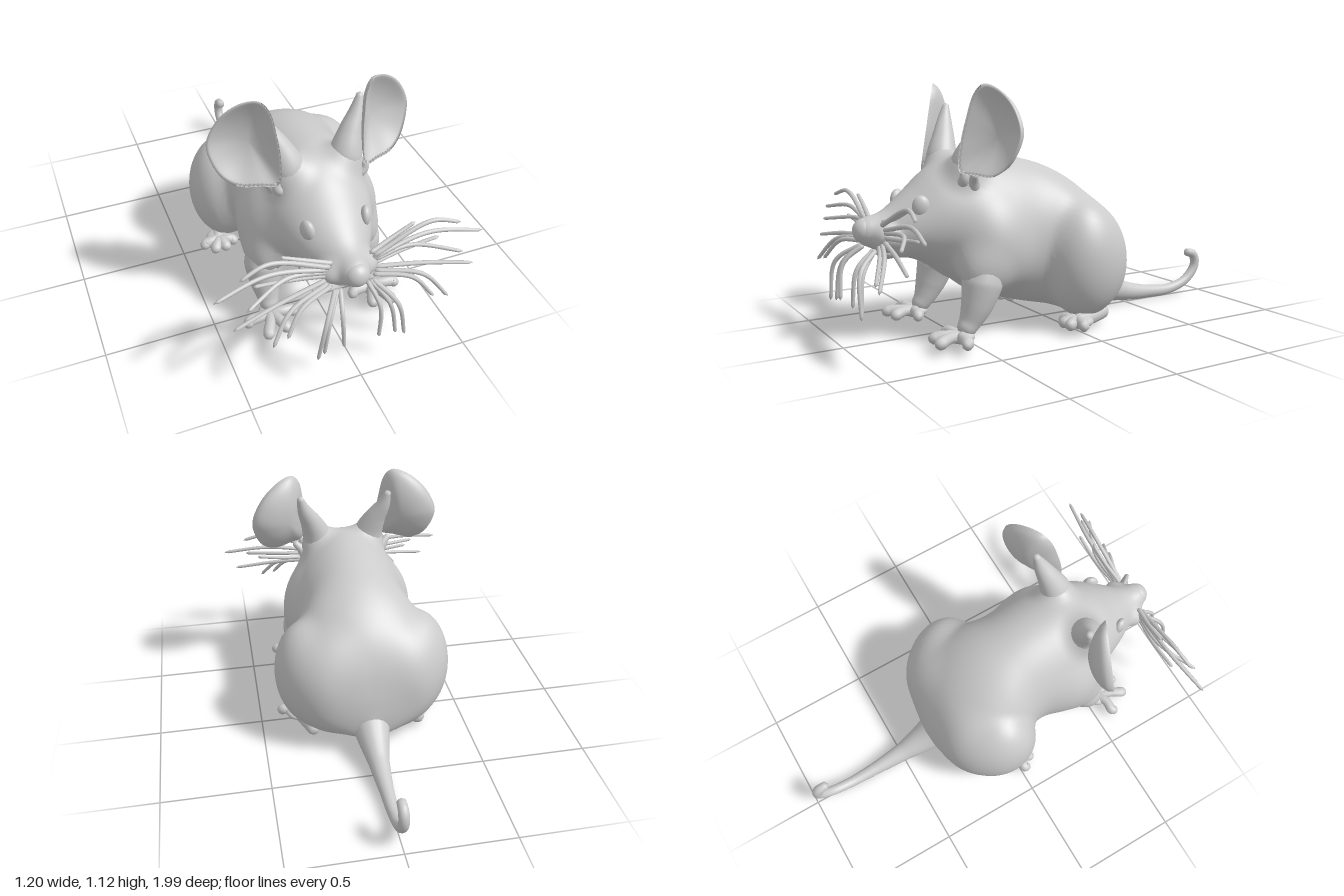
import * as THREE from 'three';
import { mergeVertices } from 'three/addons/utils/BufferGeometryUtils.js';

const V = (x, y, z) => new THREE.Vector3(x, y, z);
const material = new THREE.MeshStandardMaterial({ color: 0xcccccc, roughness: 0.8 });

// Weld seams so the shading is smooth all round
function smooth(geo) {
  geo.deleteAttribute('uv');
  geo.deleteAttribute('normal');
  const welded = mergeVertices(geo, 1e-5);
  welded.computeVertexNormals();
  return welded;
}

// Rings running from the front pole to the back pole, counter-clockwise seen from the front
function rings(nu, nv, point) {
  const pos = [], idx = [];
  for (let i = 0; i <= nu; i++)
    for (let j = 0; j < nv; j++) pos.push(...point(i / nu, j / nv));
  for (let i = 0; i < nu; i++)
    for (let j = 0; j < nv; j++) {
      const k = (j + 1) % nv, a = i * nv + j, b = i * nv + k;
      idx.push(a, a + nv, b, b, a + nv, b + nv);
    }
  const geo = new THREE.BufferGeometry();
  geo.setAttribute('position', new THREE.Float32BufferAttribute(pos, 3));
  geo.setIndex(idx);
  return smooth(geo);
}

// Tapered tube with rounded ends through [x, y, z, radius] points
function limb(pts, seg = 28, sides = 16) {
  const curve = new THREE.CatmullRomCurve3(pts.map(p => V(p[0], p[1], p[2])));
  const geo = new THREE.TubeGeometry(curve, seg, 1, sides);
  const pos = geo.attributes.position, nor = geo.attributes.normal;
  const len = curve.getLength(), last = pts.length - 1;
  const cap = (d, r) => d >= r ? 1 : Math.sqrt(Math.max(0, 1 - (1 - d / r) ** 2));
  for (let i = 0; i <= seg; i++) {
    const u = i / seg, c = curve.getPointAt(u), t = curve.getUtoTmapping(u) * last;
    const k = Math.min(Math.floor(t), last - 1);
    let r = THREE.MathUtils.lerp(pts[k][3], pts[k + 1][3], t - k);
    r *= cap(u * len, pts[0][3]) * cap((1 - u) * len, pts[last][3]);
    for (let j = 0; j <= sides; j++) {
      const n = i * (sides + 1) + j;
      pos.setXYZ(n, c.x + nor.getX(n) * r, c.y + nor.getY(n) * r, c.z + nor.getZ(n) * r);
    }
  }
  return smooth(geo);
}

function ellipsoid(c, r, yaw = 0) {
  return new THREE.SphereGeometry(1, 32, 24).scale(...r).rotateY(yaw).translate(...c);
}

function mirrored(geo) {
  const g = geo.clone().scale(-1, 1, 1), a = g.index.array;
  for (let i = 0; i < a.length; i += 3) [a[i], a[i + 1]] = [a[i + 1], a[i]];
  g.computeVertexNormals();
  return g;
}

// Body and head sections: z, top, bottom, half width, pear shape
const SECTIONS = [
  [0.92, 0.5, 0.49, 0.005, 0], [0.91, 0.54, 0.45, 0.045, 0], [0.86, 0.56, 0.42, 0.07, 0],
  [0.79, 0.59, 0.375, 0.105, 0], [0.7, 0.66, 0.365, 0.16, 0.05], [0.6, 0.745, 0.32, 0.21, 0.05],
  [0.5, 0.8, 0.25, 0.25, 0.08], [0.4, 0.815, 0.18, 0.28, 0.12], [0.28, 0.805, 0.14, 0.29, 0.12],
  [0.14, 0.78, 0.1, 0.285, 0.06], [0, 0.735, 0.07, 0.33, 0.06], [-0.12, 0.665, 0.06, 0.35, 0.08],
  [-0.22, 0.57, 0.06, 0.31, 0.08], [-0.29, 0.45, 0.07, 0.23, 0.05], [-0.33, 0.32, 0.09, 0.13, 0],
  [-0.35, 0.19, 0.18, 0.005, 0],
];

// Muscle masses blended into the body on both sides: centre, radii, blend
const MASSES = [
  { c: [0.26, 0.325, -0.055], r: [0.165, 0.265, 0.175], k: 0.03 }, // thigh
  { c: [0.17, 0.3, -0.13], r: [0.2, 0.26, 0.195], k: 0.08 },       // rump
  { c: [0.19, 0.41, 0.38], r: [0.13, 0.2, 0.15], k: 0.08 },        // shoulder
  { c: [0.23, 0.33, 0.44], r: [0.085, 0.11, 0.11], k: 0.05 },      // upper front leg
  { c: [0.06, 0.475, 0.815], r: [0.07, 0.055, 0.06], k: 0.03 },    // muzzle pad
  { c: [0, 0.5, 0.87], r: [0.052, 0.052, 0.045], k: 0.03 },        // nose root
  { c: [0.13, 0.75, 0.47], r: [0.075, 0.09, 0.07], k: 0.07 },      // ear root
];

function bodyGeometry() {
  const spline = f => new THREE.CatmullRomCurve3(SECTIONS.map(f), false, 'catmullrom', 0.5);
  const heights = spline(s => V(s[0], s[1], s[2])), widths = spline(s => V(s[0], s[3], s[4]));
  const massDistance = ({ c, r }, x, y, z) => {
    const q = V((Math.abs(x) - c[0]) / r[0], (y - c[1]) / r[1], (z - c[2]) / r[2]);
    const d = q.length();
    return d * (d - 1) / (V(q.x / r[0], q.y / r[1], q.z / r[2]).length() + 1e-6);
  };
  return rings(150, 72, (u, v) => {
    const h = heights.getPoint(u), w = widths.getPoint(u), a = v * Math.PI * 2;
    const cy = (h.y + h.z) / 2, z = h.x;
    const x = w.y * Math.cos(a) * (1 - w.z * Math.sin(a)), y = (h.y - h.z) / 2 * Math.sin(a);
    if (u === 0 || u === 1) return [x, cy + y, z];
    const R = Math.hypot(x, y), dx = x / R, dy = y / R;
    const field = t => MASSES.reduce((f, m) => {
      const d = massDistance(m, dx * t, cy + dy * t, z);
      return Math.min(f, d) - Math.max(m.k - Math.abs(f - d), 0) ** 2 / (4 * m.k);
    }, t - R);
    // Search inward for the outermost surface, then refine
    let lo = 0.6;
    while (lo > 0 && field(lo) > 0) lo -= 0.01;
    let hi = lo + 0.01;
    for (let i = 0; i < 10; i++) {
      const mid = (lo + hi) / 2;
      if (field(mid) > 0) hi = mid; else lo = mid;
    }
    return [dx * lo, cy + dy * lo, z];
  });
}

// Thin cupped ear plate, open to the front
function earGeometry() {
  const outline = new THREE.CatmullRomCurve3([
    [0.2, 0.75], [0.27, 0.74], [0.35, 0.735], [0.41, 0.77], [0.45, 0.85], [0.457, 0.93], [0.4, 1.04],
    [0.31, 1.11], [0.25, 1.12], [0.215, 1.08], [0.195, 0.98], [0.185, 0.86],
  ].map(p => V(p[0], p[1], 0)), true);
  return rings(28, 56, (u, v) => {
    const back = u > 0.5, s = back ? 2 - 2 * u : 2 * u;
    const p = V(0.28, 0.9, 0).lerp(outline.getPoint(v), s);
    const rim = 0.51 - 0.48 * (p.x - 0.2) - 0.17 * (p.y - 0.9);
    const thickness = 0.024 * Math.sqrt(1 - s ** 8);
    return [p.x, p.y, rim - 0.08 * (1 - s * s) + (back ? -thickness : thickness * 0.2)];
  });
}

// Whiskers: root, middle, tip
const WHISKERS = [
  [[0.09, 0.51, 0.84], [0.36, 0.56, 0.83], [0.6, 0.53, 0.87]],
  [[0.09, 0.53, 0.85], [0.36, 0.63, 0.84], [0.49, 0.6, 0.86]],
  [[0.08, 0.54, 0.84], [0.2, 0.58, 0.82], [0.3, 0.62, 0.81]],
  [[0.1, 0.5, 0.84], [0.28, 0.515, 0.83], [0.48, 0.49, 0.92]],
  [[0.1, 0.48, 0.84], [0.25, 0.49, 0.82], [0.42, 0.51, 0.82]],
  [[0.1, 0.46, 0.84], [0.33, 0.44, 0.88], [0.54, 0.405, 0.92]],
  [[0.1, 0.45, 0.85], [0.3, 0.42, 0.92], [0.395, 0.315, 0.98]],
  [[0.09, 0.44, 0.86], [0.25, 0.42, 0.92], [0.33, 0.33, 0.97]],
  [[0.08, 0.43, 0.87], [0.16, 0.35, 0.97], [0.2, 0.165, 0.985]],
  [[0.07, 0.43, 0.87], [0.135, 0.34, 0.95], [0.165, 0.17, 0.97]],
  [[0.06, 0.43, 0.87], [0.085, 0.35, 0.96], [0.08, 0.19, 0.98]],
];

export function createModel() {
  const model = new THREE.Group();
  model.name = 'mouse';
  const add = (name, geo) => {
    const mesh = new THREE.Mesh(geo, material);
    mesh.name = name;
    model.add(mesh);
  };
  const pair = (name, geo) => {
    add(name + 'Left', geo);
    add(name + 'Right', mirrored(geo));
  };
  // Knuckled toes fanning out from a palm point
  const toes = (name, [px, pz], tips) => tips.forEach(([x, z], i) => pair(name + (i + 1), limb([
    [px, 0.045, pz, 0.026], [(x + px) / 2, 0.055, (z + pz) / 2, 0.024],
    [x, 0.047, z - 0.015, 0.027], [x, 0.033, z + 0.01, 0.022]], 20, 12)));

  add('body', bodyGeometry());
  add('nose', ellipsoid([0, 0.5, 0.89], [0.055, 0.055, 0.052]));
  add('lowerLip', ellipsoid([0, 0.4, 0.79], [0.07, 0.03, 0.05]));
  add('tail', limb([[0, 0.2, -0.2, 0.11], [0, 0.12, -0.32, 0.085], [0, 0.062, -0.48, 0.05],
    [0, 0.036, -0.65, 0.033], [0, 0.033, -0.8, 0.026], [0, 0.07, -0.91, 0.024], [0, 0.14, -0.97, 0.024],
    [0, 0.2, -0.96, 0.024], [0, 0.22, -0.9, 0.02]], 70, 20));

  // Face
  pair('eye', ellipsoid([0.132, 0.605, 0.685], [0.024, 0.048, 0.038], -0.4));
  WHISKERS.forEach((w, i) =>
    pair('whisker' + (i + 1), limb(w.map((p, k) => [...p, [0.011, 0.01, 0.008][k]]), 24, 7)));

  // Ears with funnel bases and the small folds under the opening
  pair('ear', earGeometry());
  pair('earBase', limb([[0.12, 0.7, 0.47, 0.08], [0.135, 0.79, 0.462, 0.072], [0.163, 0.87, 0.44, 0.053],
    [0.2, 0.95, 0.415, 0.034], [0.222, 1.03, 0.395, 0.012]], 36, 24));
  pair('earFold', limb([[0.17, 0.69, 0.51, 0.03], [0.2, 0.72, 0.515, 0.022], [0.205, 0.76, 0.515, 0.014]]));
  pair('earFoldLower', limb([[0.18, 0.66, 0.46, 0.035], [0.215, 0.71, 0.475, 0.022], [0.25, 0.745, 0.49, 0.014]]));

  // Front legs
  pair('frontLeg', limb([[0.22, 0.38, 0.43, 0.08], [0.24, 0.26, 0.455, 0.09], [0.245, 0.17, 0.485, 0.07],
    [0.245, 0.1, 0.52, 0.048], [0.25, 0.05, 0.56, 0.035]], 36, 24));
  pair('frontPaw', ellipsoid([0.25, 0.045, 0.56], [0.055, 0.028, 0.058]));
  toes('frontToe', [0.25, 0.56], [[0.155, 0.6], [0.215, 0.685], [0.3, 0.695], [0.36, 0.6]]);

  // Hind feet
  pair('hindFoot', limb([[0.25, 0.06, -0.2, 0.035], [0.28, 0.05, -0.1, 0.036], [0.315, 0.045, 0, 0.036],
    [0.325, 0.045, 0.03, 0.03]]));
  pair('hindPaw', ellipsoid([0.318, 0.045, 0], [0.06, 0.028, 0.07]));
  pair('hindAnkle', limb([[0.27, 0.16, -0.1, 0.09], [0.28, 0.06, -0.1, 0.045]]));
  toes('hindToe', [0.315, 0], [[0.255, 0.05], [0.3, 0.08], [0.35, 0.08], [0.39, 0.035]]);

  return model;
}
